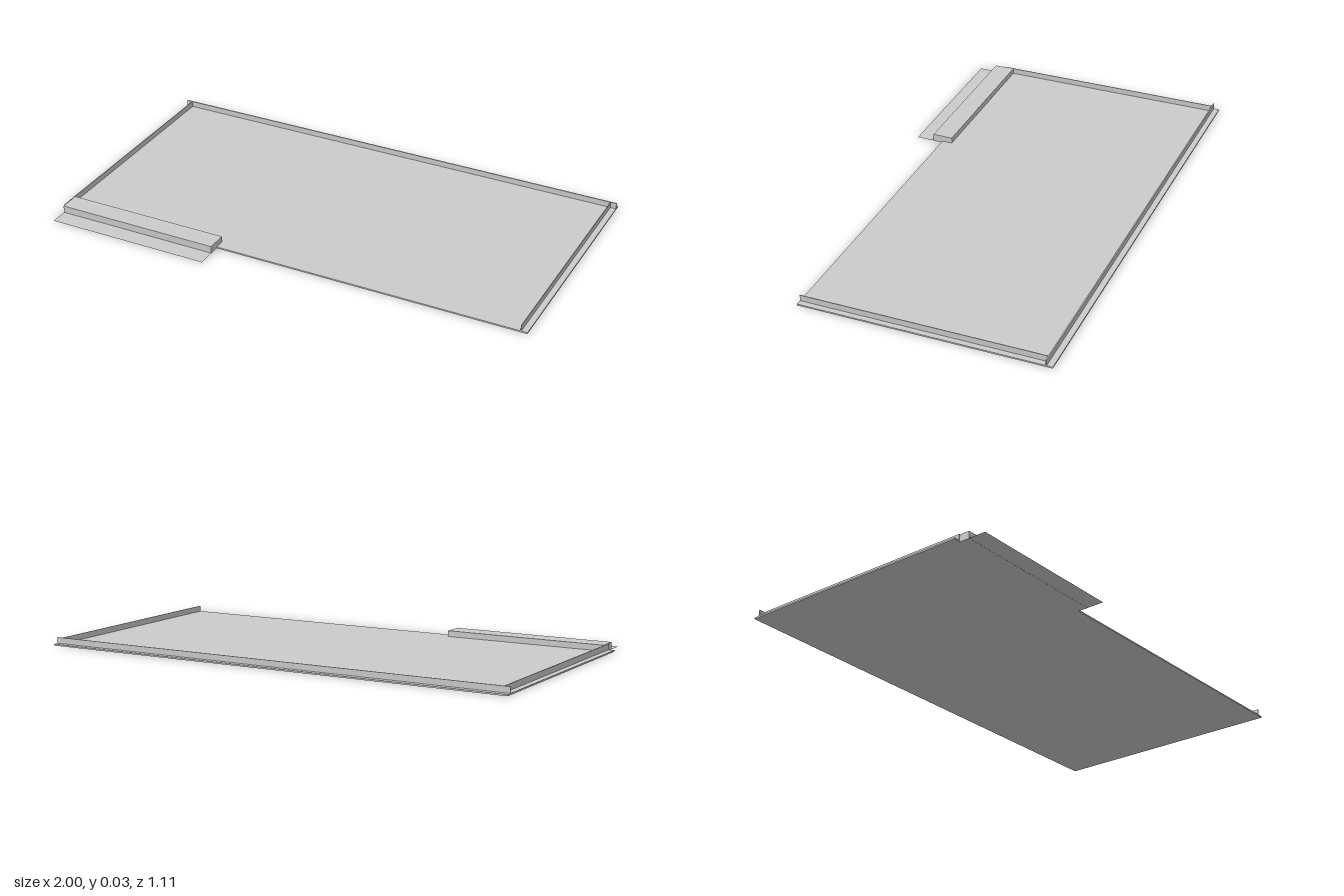
import * as THREE from 'three';

const material = new THREE.MeshStandardMaterial({ color: 0xcccccc, flatShading: true, side: THREE.DoubleSide });

// Box given by its limits on each axis
function block(name, [x0, x1], [y0, y1], [z0, z1]) {
  const geometry = new THREE.BoxGeometry(x1 - x0, y1 - y0, z1 - z0);
  geometry.translate((x0 + x1) / 2, (y0 + y1) / 2, (z0 + z1) / 2);
  const mesh = new THREE.Mesh(geometry, material);
  mesh.name = name;
  return mesh;
}

export function createModel() {
  const group = new THREE.Group();
  group.name = 'shallowTray';

  const base = 0.006, top = 0.03;
  const front = 0.443, back = -0.557, wallBack = -0.534;

  // Floor plate, reaching past the walls as a narrow flange
  group.add(block('floorPlate', [-1, 1], [0, base], [back, front]));

  // Thin upright walls along the back and both sides
  group.add(block('backWall', [-1, 1], [base, top], [wallBack, wallBack + 0.005]));
  for (const side of [-1, 1]) {
    const x = side * 0.975;
    const name = side > 0 ? 'leftWall' : 'rightWall';
    group.add(block(name, [x - 0.0015, x + 0.0015], [base, top], [wallBack + 0.005, front]));
  }

  // Raised step on the front edge
  const stepX = [-0.972, -0.29];
  group.add(block('frontStep', stepX, [0, top], [0.4, 0.484]));

  // Paper-thin flange at the foot of the step
  const flange = new THREE.Mesh(new THREE.PlaneGeometry(stepX[1] - stepX[0], 0.073), material);
  flange.name = 'stepFlange';
  flange.rotation.x = -Math.PI / 2;
  flange.position.set((stepX[0] + stepX[1]) / 2, 0.0005, 0.484 + 0.073 / 2);
  group.add(flange);

  return group;
}
